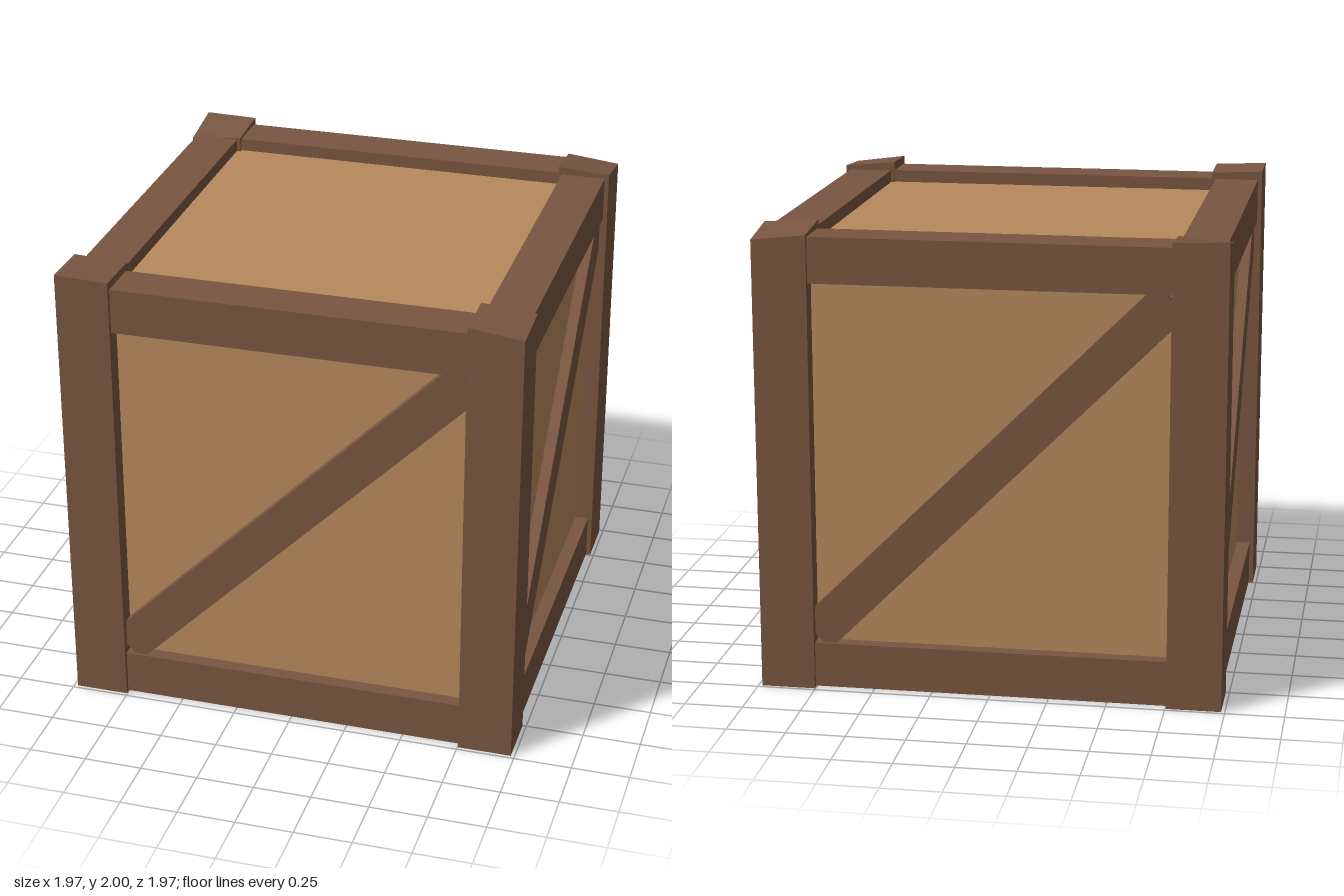
import * as THREE from 'three';

export function createModel() {
  const model = new THREE.Group();
  model.name = 'crate';
  const frameWood = new THREE.MeshStandardMaterial({ color: 0x795641 });
  frameWood.name = 'dark frame wood';
  const panelWood = new THREE.MeshStandardMaterial({ color: 0xb6895d });
  panelWood.name = 'light panel wood';

  // Box given by its lower and upper corners
  function box(name, material, min, max, parent) {
    const size = max.map((v, i) => v - min[i]);
    const mesh = new THREE.Mesh(new THREE.BoxGeometry(...size), material);
    mesh.position.set(...max.map((v, i) => (v + min[i]) / 2));
    mesh.name = name;
    parent.add(mesh);
    return mesh;
  }

  // Recessed panels: the six faces of one inner block
  box('panels', panelWood, [-0.905, 0.055, -0.905], [0.905, 1.9, 0.905], model);

  // Each side has a bottom rail, a top rail and a diagonal brace
  ['front', 'left', 'back', 'right'].forEach((side, i) => {
    const group = new THREE.Group();
    group.name = side + 'Side';
    group.rotation.y = i * Math.PI / 2;
    box('bottomRail', frameWood, [-0.8, 0.006, 0.77], [0.8, 0.2, 0.965], group);
    box('topRail', frameWood, [-0.8, 1.76, 0.77], [0.8, 1.955, 0.965], group);
    const brace = box('brace', frameWood, [-1.06, 0.897, 0.88], [1.06, 1.073, 0.953], group);
    brace.rotation.z = Math.PI / 4;
    model.add(group);
  });

  // Corner posts with roughly sawn tops.
  // Heights: outer corner, outer x / inner z, inner x / outer z, inner corner
  const posts = [
    ['frontLeftPost', 1, 1, [1.96, 1.975, 1.99, 1.995]],
    ['frontRightPost', -1, 1, [2.0, 1.995, 1.99, 1.985]],
    ['backLeftPost', 1, -1, [1.94, 1.975, 1.965, 1.99]],
    ['backRightPost', -1, -1, [1.985, 1.945, 1.98, 1.965]],
  ];
  for (const [name, sx, sz, tops] of posts) {
    const a = 0.753, b = 0.984;
    const post = box(name, frameWood,
      [sx > 0 ? a : -b, 0, sz > 0 ? a : -b], [sx > 0 ? b : -a, 2, sz > 0 ? b : -a], model);
    const p = post.geometry.attributes.position;
    for (let i = 0; i < p.count; i++) {
      if (p.getY(i) < 0) continue;
      const corner = (p.getX(i) * sx > 0 ? 0 : 2) + (p.getZ(i) * sz > 0 ? 0 : 1);
      p.setY(i, tops[corner] - 1);
    }
    post.geometry.computeVertexNormals();
  }
  return model;
}
